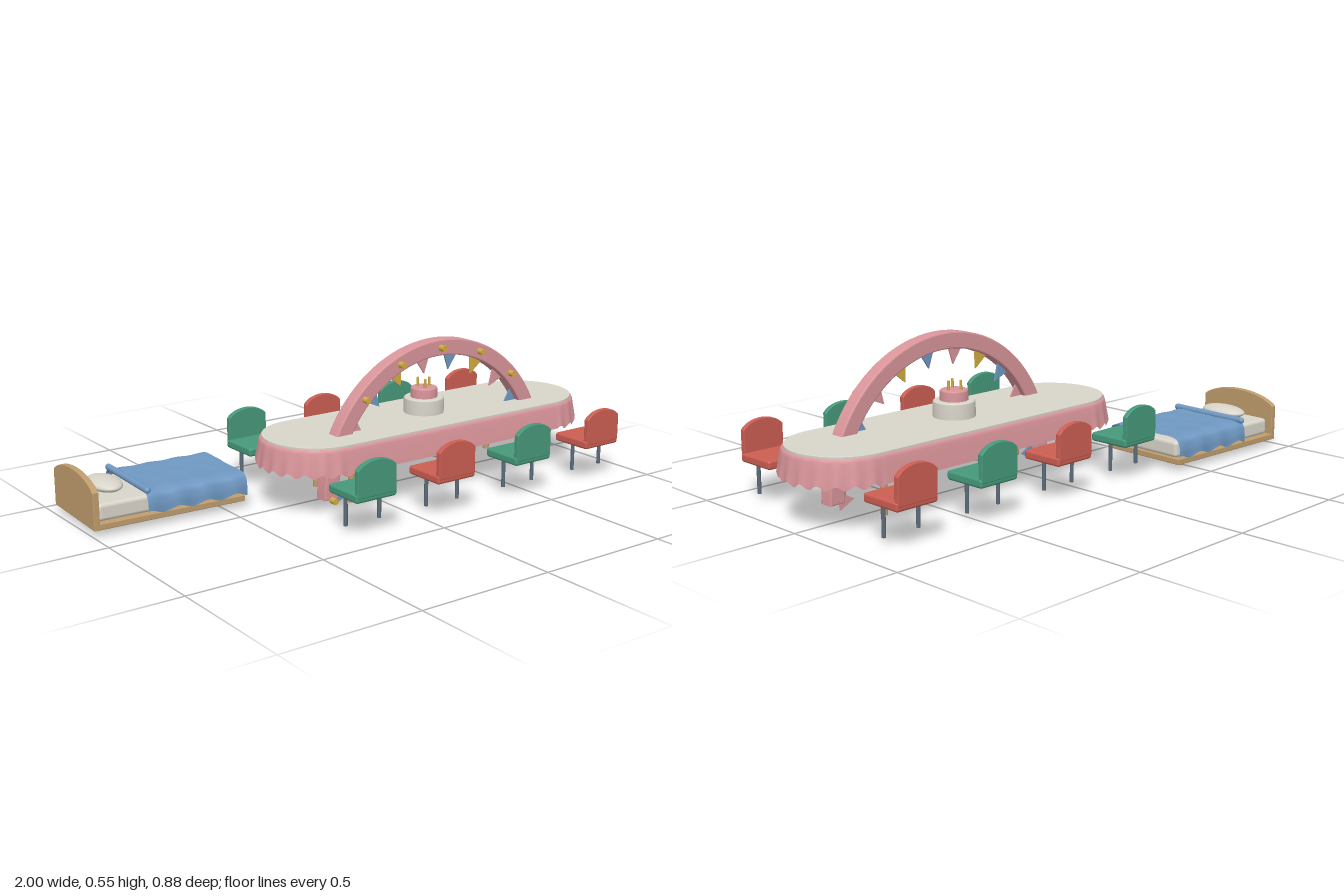
import * as THREE from 'three';
import { RoundedBoxGeometry } from 'three/addons/geometries/RoundedBoxGeometry.js';

const mat = (name, color, side = THREE.FrontSide) => {
  const m = new THREE.MeshStandardMaterial({ color, side });
  m.name = name;
  return m;
};

// Smooth surface from a rule fn(u, v) -> [x, y, z]
function surface(nu, nv, fn) {
  const pos = [], idx = [];
  for (let i = 0; i <= nu; i++)
    for (let j = 0; j <= nv; j++) pos.push(...fn(i / nu, j / nv));
  for (let i = 0; i < nu; i++)
    for (let j = 0; j < nv; j++) {
      const a = i * (nv + 1) + j, b = a + nv + 1;
      idx.push(a, a + 1, b, b, a + 1, b + 1);
    }
  const g = new THREE.BufferGeometry();
  g.setAttribute('position', new THREE.Float32BufferAttribute(pos, 3));
  g.setIndex(idx);
  g.computeVertexNormals();
  return g;
}

export function createModel() {
  const root = new THREE.Group();
  root.name = 'partyTableAndBed';
  const cream = mat('cream', 0xd8d4ca);
  const pink = mat('pink', 0xd9959a, THREE.DoubleSide);
  const blue = mat('blue', 0x6f98c2, THREE.DoubleSide);
  const green = mat('green', 0x46987a);
  const red = mat('red', 0xcb5d52);
  const wood = mat('wood', 0xbf9c6c);
  const gold = mat('gold', 0xd2ab42, THREE.DoubleSide);
  const metal = mat('metal', 0x5c6b78);

  const add = (parent, name, geo, material, x = 0, y = 0, z = 0) => {
    const m = new THREE.Mesh(geo, material);
    m.name = name;
    m.position.set(x, y, z);
    parent.add(m);
    return m;
  };
  const cyl = (r, h, n = 16) => new THREE.CylinderGeometry(r, r, h, n);
  const extrude = (shape, depth, bevel) => new THREE.ExtrudeGeometry(shape, {
    depth: depth - 2 * bevel, bevelEnabled: bevel > 0, bevelThickness: bevel, bevelSize: bevel,
    bevelOffset: -bevel, bevelSegments: 2, curveSegments: 40,
  }).translate(0, 0, -depth / 2 + bevel);
  // Board with a bowed top edge
  const bowedBoard = (w, side, top, depth, bevel) => {
    const s = new THREE.Shape();
    s.moveTo(-w / 2, 0);
    s.lineTo(w / 2, 0);
    s.lineTo(w / 2, side);
    s.bezierCurveTo(w * 0.3, side + (top - side) * 1.33, -w * 0.3, side + (top - side) * 1.33, -w / 2, side);
    s.closePath();
    return extrude(s, depth, bevel);
  };

  // Table: long rounded top, legs, cloth skirt
  const CX = 0.294, CZ = 0.02, HALF = 0.487;
  const table = new THREE.Group();
  table.name = 'table';
  table.position.set(CX, 0, CZ);
  root.add(table);
  const R = 0.193, top = new THREE.Shape();
  top.moveTo(-HALF, -R);
  top.lineTo(HALF, -R);
  top.absarc(HALF, 0, R, -Math.PI / 2, Math.PI / 2);
  top.lineTo(-HALF, R);
  top.absarc(-HALF, 0, R, Math.PI / 2, Math.PI * 1.5);
  add(table, 'tableTop', extrude(top, 0.016, 0.002).rotateX(-Math.PI / 2), cream, 0, 0.234, 0);
  for (const sx of [-1, 1]) for (const sz of [-1, 1])
    add(table, 'tableLeg', cyl(0.012, 0.228), wood, sx * 0.413, 0.114, sz * 0.11);

  // Skirt profile as [radius, height]; the hem ripples around both ends
  const skirt = [[0.19, 0.234], [0.199, 0.233], [0.203, 0.222], [0.207, 0.195], [0.212, 0.165], [0.215, 0.142]];
  const cloth = surface(320, 5, (u, v) => {
    const [r, y] = skirt[Math.round(v * 5)];
    const end = u < 0.5 ? 1 : -1, t = (u % 0.5) * 2;
    if (u === 1) return [HALF, y, r];
    if (t > 0.5) return [end * HALF * (1 - (t - 0.5) * 4), y, -end * r];
    const a = t * 2 * Math.PI, ripple = Math.sin(a * 22) * v * v;
    const rr = r + ripple * 0.003;
    return [end * rr * Math.sin(a) + end * HALF, y + ripple * 0.008, end * rr * Math.cos(a)];
  });
  add(table, 'tablecloth', cloth, pink);

  // Arch with lamps and pennants
  const arch = new THREE.Group();
  arch.name = 'arch';
  arch.position.set(CX, 0.015, 0.087);
  root.add(arch);
  const band = new THREE.Shape();
  band.absarc(0, 0, 0.515, 0, Math.PI, false);
  band.absarc(0, 0, 0.455, Math.PI, 0, true);
  band.closePath();
  add(arch, 'archBand', extrude(band, 0.054, 0.005), pink);
  for (let i = 0; i <= 8; i++) {
    const a = i * Math.PI / 8;
    add(arch, 'lamp', cyl(0.0115, 0.026).rotateX(Math.PI / 2), gold, 0.485 * Math.cos(a), 0.485 * Math.sin(a), 0.038);
  }
  const tri = new THREE.Shape([[-0.031, 0.003], [0, -0.058], [0.031, 0.003]].map(p => new THREE.Vector2(...p)));
  const pennantGeo = extrude(tri, 0.006, 0);
  for (let i = 0; i < 12; i++) {
    const a = Math.PI - i * Math.PI / 11;
    const p = add(arch, 'pennant', pennantGeo, [blue, gold, pink][i % 3], 0.455 * Math.cos(a), 0.455 * Math.sin(a), 0);
    p.rotation.z = a - Math.PI / 2;
  }

  // Two-tier cake with candles
  const tier = (r, h) => new THREE.LatheGeometry([[0, 0], [r, 0], [r, 0], [r, h - 0.005], [r - 0.002, h - 0.002],
    [r - 0.005, h], [r - 0.005, h], [0, h]].map(p => new THREE.Vector2(...p)), 40);
  add(root, 'cakeBase', tier(0.075, 0.058), cream, CX, 0.242, CZ);
  add(root, 'cakeTop', tier(0.05, 0.037), pink, CX, 0.3, CZ);
  for (let i = 0; i < 3; i++) {
    const a = i * Math.PI * 2 / 3;
    add(root, 'candle', cyl(0.005, 0.034, 10), gold, CX + 0.025 * Math.cos(a), 0.353, CZ + 0.025 * Math.sin(a));
  }

  // Chairs along both sides, backs outwards
  const seatGeo = new RoundedBoxGeometry(0.168, 0.032, 0.162, 3, 0.009);
  const backGeo = bowedBoard(0.16, 0.095, 0.127, 0.02, 0.003);
  const legGeo = cyl(0.007, 0.102, 12);
  for (const side of [-1, 1]) [-0.237, 0.107, 0.466, 0.814].forEach((x, i) => {
    const chair = new THREE.Group(), m = i % 2 ? red : green;
    chair.name = 'chair';
    chair.position.set(x, 0, side > 0 ? 0.355 : -0.301);
    if (side < 0) chair.rotation.y = Math.PI;
    root.add(chair);
    add(chair, 'seat', seatGeo, m, 0, 0.129, 0);
    add(chair, 'chairBack', backGeo, m, 0, 0.129, 0.073);
    for (const s of [-1, 1]) add(chair, 'chairLeg', legGeo, metal, s * 0.07, 0.066, 0);
  });

  // Bed, turned slightly
  const bed = new THREE.Group();
  bed.name = 'bed';
  bed.position.set(-0.705, 0, -0.262);
  bed.rotation.y = -0.042;
  root.add(bed);
  add(bed, 'bedBase', new RoundedBoxGeometry(0.57, 0.022, 0.336, 2, 0.003), wood, 0, 0.018, 0);
  add(bed, 'headboard', bowedBoard(0.336, 0.132, 0.176, 0.022, 0.003).rotateY(Math.PI / 2), wood, -0.276, 0.007, 0);
  add(bed, 'mattress', new RoundedBoxGeometry(0.54, 0.062, 0.296, 4, 0.014), cream, 0.009, 0.059, 0);
  add(bed, 'pillow', new THREE.SphereGeometry(1, 32, 20).scale(0.056, 0.023, 0.095), cream, -0.172, 0.111, -0.003);
  // Blanket draped over the sides with a wavy hem
  const drape = new THREE.CatmullRomCurve3([[0.036, -0.176], [0.07, -0.174], [0.098, -0.163], [0.108, -0.135], [0.108, -0.06],
    [0.108, 0.06], [0.108, 0.135], [0.098, 0.163], [0.07, 0.174], [0.036, 0.176]].map(p => new THREE.Vector3(0, ...p)));
  const blanket = surface(48, 48, (u, v) => {
    const p = drape.getPoint(v), hang = Math.min(1, Math.max(0, (0.108 - p.y) / 0.07));
    const wave = Math.sin(u * 22 + Math.sign(p.z) * 1.2);
    return [-0.093 + u * 0.384, p.y + wave * (0.001 + 0.007 * hang), p.z * (1 + 0.022 * wave * hang)];
  });
  add(bed, 'blanket', blanket, blue);
  add(bed, 'blanketFold', new THREE.CapsuleGeometry(0.012, 0.316, 6, 16).rotateX(Math.PI / 2), blue, -0.086, 0.112, 0);

  return root;
}
